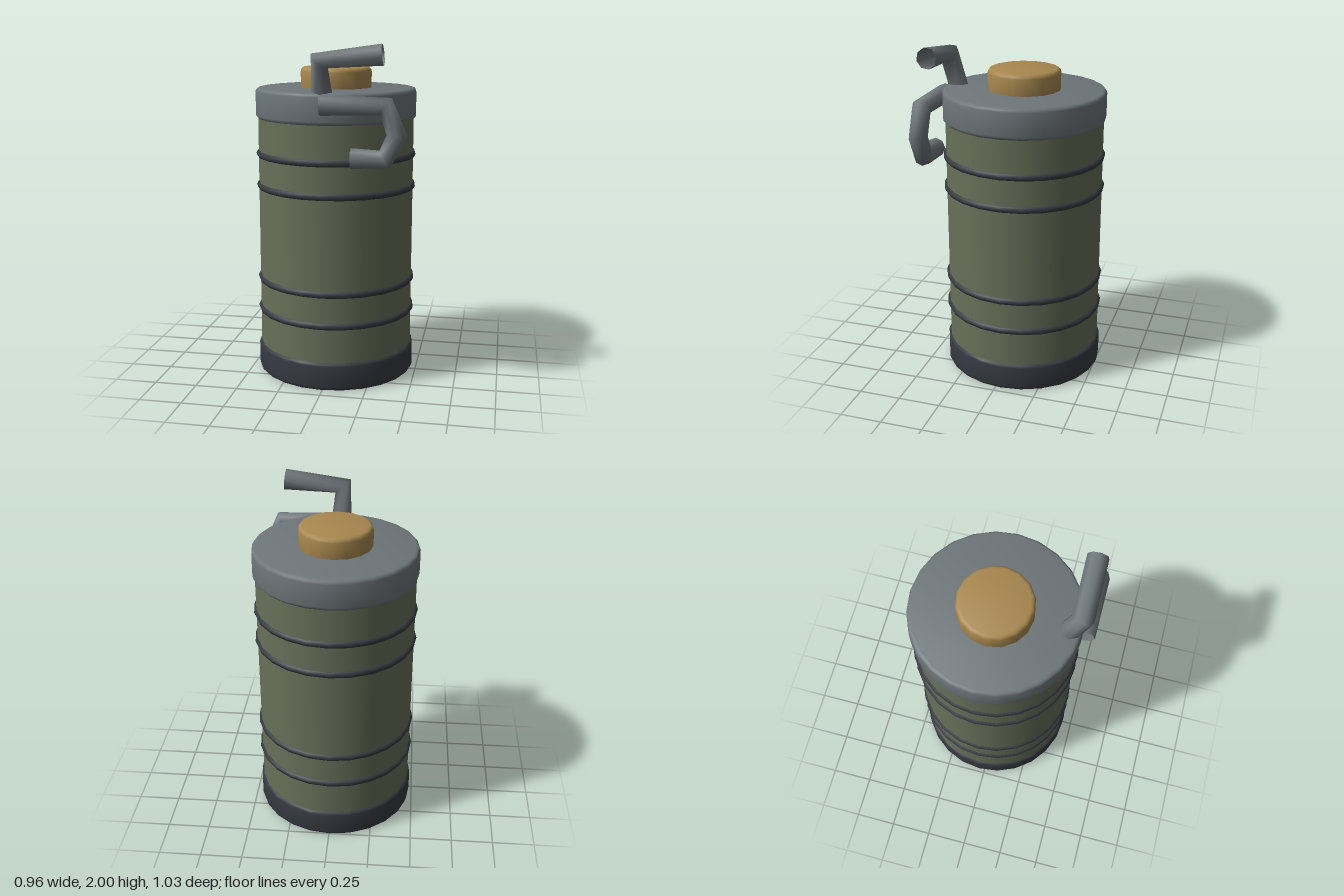
import * as THREE from 'three';
import { toCreasedNormals } from 'three/addons/utils/BufferGeometryUtils.js';

const material = (name, color, side = THREE.FrontSide) => {
  const m = new THREE.MeshStandardMaterial({ color, side });
  m.name = name;
  return m;
};

// Capped drum with rounded rims, radius r, from y0 to y1
function drum(r, y0, y1, bevel, sides) {
  const points = [new THREE.Vector2(0, y0)];
  const steps = 3;
  for (let i = 0; i <= steps; i++) {
    const a = (i / steps) * Math.PI / 2;
    points.push(new THREE.Vector2(r - bevel + bevel * Math.sin(a), y0 + bevel - bevel * Math.cos(a)));
  }
  for (let i = 0; i <= steps; i++) {
    const a = (i / steps) * Math.PI / 2;
    points.push(new THREE.Vector2(r - bevel + bevel * Math.cos(a), y1 - bevel + bevel * Math.sin(a)));
  }
  points.push(new THREE.Vector2(0, y1));
  return toCreasedNormals(new THREE.LatheGeometry(points, sides), 0.65);
}

// Straight runs with one cross-section at each bend
class BentPath extends THREE.Curve {
  constructor(points) {
    super();
    this.points = points.map((p) => new THREE.Vector3(...p));
  }
  getPoint(t, target = new THREE.Vector3()) {
    const s = t * (this.points.length - 1);
    const i = Math.min(Math.floor(s + 1e-6), this.points.length - 2);
    return target.lerpVectors(this.points[i], this.points[i + 1], s - i);
  }
  getPointAt(t, target) {
    return this.getPoint(t, target);
  }
  getTangentAt(t, target = new THREE.Vector3()) {
    const p = this.points, last = p.length - 1, i = Math.round(t * last);
    target.set(0, 0, 0);
    if (i > 0) target.add(p[i].clone().sub(p[i - 1]).normalize());
    if (i < last) target.add(p[i + 1].clone().sub(p[i]).normalize());
    return target.normalize();
  }
}

const bentTube = (points, r) =>
  new THREE.TubeGeometry(new BentPath(points), points.length - 1, r, 8, false);

export function createModel() {
  const group = new THREE.Group();
  const olive = material('olive paint', 0x687159);
  const dark = material('dark rubber', 0x363a41);
  const grey = material('grey metal', 0x6e767a);
  const tubeGrey = material('grey tube metal', 0x6e767a, THREE.DoubleSide);
  const brass = material('brass', 0xa8884f);

  const add = (name, geometry, mat, parent = group) => {
    const mesh = new THREE.Mesh(geometry, mat);
    mesh.name = name;
    parent.add(mesh);
    return mesh;
  };

  // Canister, set slightly back to leave room for the levers
  const canister = new THREE.Group();
  canister.name = 'canister';
  canister.position.set(-0.004, 0, -0.035);
  group.add(canister);
  add('body', new THREE.CylinderGeometry(0.465, 0.465, 1.5, 24, 1, true).translate(0, 0.85, 0), olive, canister);
  add('base', drum(0.478, 0, 0.172, 0.022, 24), dark, canister);
  add('cap', drum(0.478, 1.55, 1.73, 0.022, 24), grey, canister);
  add('button', drum(0.213, 1.7, 1.85, 0.025, 16), brass, canister);

  // Bands around the body
  for (const y of [0.39, 0.58, 1.15, 1.34]) {
    const band = add('band', new THREE.TorusGeometry(0.456, 0.023, 8, 24), dark, canister);
    band.rotation.x = Math.PI / 2;
    band.position.y = y;
  }

  // Bent lever rising from the cap
  add('upperLever', bentTube([
    [-0.005, 1.69, 0.365], [-0.01, 1.905, 0.43], [0.338, 1.94, 0.425],
  ], 0.061), tubeGrey);

  // Hooked handle on the front
  add('hookHandle', bentTube([
    [-0.003, 1.667, 0.455], [0.36, 1.667, 0.455], [0.422, 1.51, 0.455],
    [0.357, 1.38, 0.455], [0.17, 1.38, 0.455],
  ], 0.057), tubeGrey);

  return group;
}
